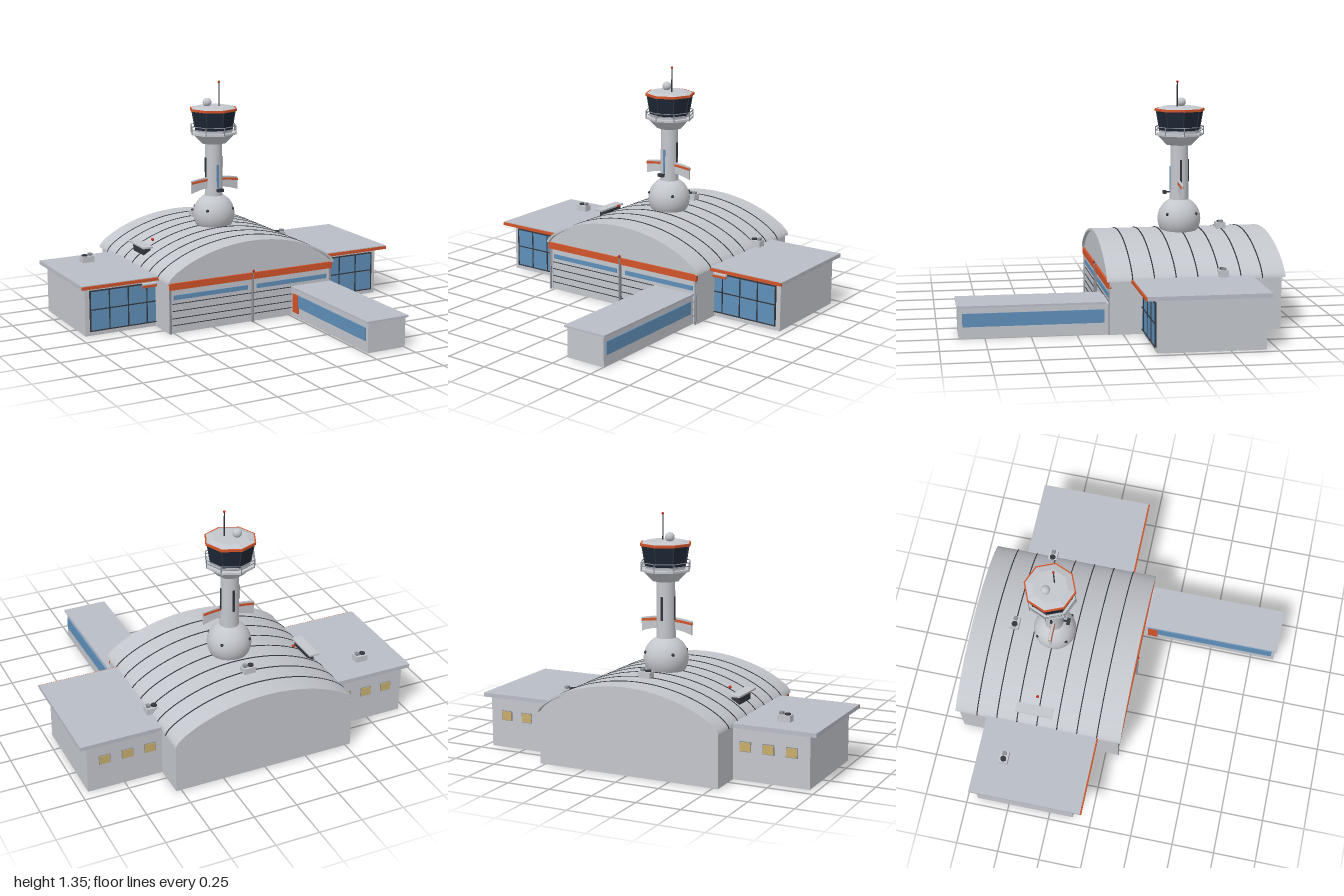
import * as THREE from 'three';
import { toCreasedNormals } from 'three/addons/utils/BufferGeometryUtils.js';

export function createModel() {
  const root = new THREE.Group();
  root.name = 'airportTerminal';
  const mat = (name, color) => {
    const m = new THREE.MeshStandardMaterial({ color });
    m.name = name;
    return m;
  };
  const wall = mat('pale grey', 0xc3c6cc);
  const roofGrey = mat('roof grey', 0xb9bdc6);
  const dark = mat('dark metal', 0x33373e);
  const steel = mat('mid grey', 0x8b9098);
  const orange = mat('orange trim', 0xd2542a);
  const glass = mat('blue glass', 0x5f8fba);
  const cabGlass = mat('dark glass', 0x1d2735);
  const amber = mat('amber window', 0xc9ae6c);
  const red = mat('red lamp', 0xc8321e);

  const add = (name, geo, material, x = 0, y = 0, z = 0, parent = root) => {
    const m = new THREE.Mesh(geo, material);
    m.name = name;
    m.position.set(x, y, z);
    parent.add(m);
    return m;
  };
  // Box given by its limits on each axis
  const box = (name, material, x0, x1, y0, y1, z0, z1, parent = root) =>
    add(name, new THREE.BoxGeometry(x1 - x0, y1 - y0, z1 - z0), material,
      (x0 + x1) / 2, (y0 + y1) / 2, (z0 + z1) / 2, parent);
  const ball = (name, r, material, x, y, z, parent = root) =>
    add(name, new THREE.SphereGeometry(r, 20, 14), material, x, y, z, parent);

  // Barrel roof curve, from the left eave over the crown to the right eave
  const BASE = 0.293, N = 40;
  const arch = (halfWidth, rise) => Array.from({ length: N + 1 }, (_, i) => {
    const u = Math.cos(Math.PI * i / N), q = 1 - u * u;
    return new THREE.Vector2(halfWidth * u, BASE + rise * (0.5 * Math.sqrt(q) + 0.5 * q));
  });
  const extrude = (points, z0, z1) => {
    const g = new THREE.ExtrudeGeometry(new THREE.Shape(points), { depth: z1 - z0, bevelEnabled: false });
    g.translate(0, 0, z0);
    return toCreasedNormals(g, 0.5);
  };
  const shell = (w, h, t, z0, z1) => extrude([...arch(w, h), ...arch(w - t, h - t).reverse()], z0, z1);

  // Main hall: open-bottomed walls, gables and barrel roof
  for (const s of [-1, 1]) {
    const x = s * 0.52;
    box('hallSideWall', wall, x - 0.01, x + 0.01, 0, BASE, -0.88, 0.075);
  }
  box('hallBackWall', wall, -0.51, 0.51, 0, BASE, -0.88, -0.86);
  box('hallFrontWall', wall, -0.51, 0.51, 0, BASE, 0.05, 0.07);
  add('hallGables', extrude(arch(0.52, 0.178), -0.88, 0.075), wall);
  add('barrelRoof', shell(0.54, 0.192, 0.014, -0.9, 0.09), wall);
  for (let i = 0; i < 7; i++) {
    const z = -0.77 + i * 0.12;
    add('roofSeam', shell(0.543, 0.195, 0.006, z - 0.003, z + 0.003), dark);
  }

  // Hall front: orange beam, door ribs, window strips and centre post
  box('frontBeam', orange, -0.53, 0.53, 0.255, 0.293, 0.065, 0.087);
  for (const y of [0.045, 0.085, 0.128, 0.17])
    box('doorRib', dark, -0.51, 0.51, y - 0.002, y + 0.002, 0.07, 0.073);
  for (const s of [-1, 1]) {
    const x = s * 0.265;
    box('clerestoryWindow', glass, x - 0.235, x + 0.235, 0.194, 0.22, 0.069, 0.075);
    box('doorEdgePost', steel, s * 0.523 - 0.006, s * 0.523 + 0.006, 0, 0.255, 0.07, 0.08);
  }
  box('centrePost', steel, -0.004, 0.004, 0, 0.3, 0.07, 0.09);
  ball('frontLamp', 0.008, red, 0, 0.304, 0.09);

  // Side wings share one block running through the hall
  box('wingBlock', wall, -0.96, 0.96, 0, 0.285, -0.69, -0.11);
  for (const s of [-1, 1]) {
    const wing = new THREE.Group();
    wing.name = s > 0 ? 'leftWing' : 'rightWing';
    root.add(wing);
    const b = (name, m, x0, x1, ...rest) =>
      box(name, m, Math.min(s * x0, s * x1), Math.max(s * x0, s * x1), ...rest, wing);
    b('wingRoof', roofGrey, 0.525, 1, 0.285, 0.308, -0.71, -0.05);
    b('wingFascia', orange, 0.525, 1, 0.287, 0.304, -0.05, -0.042);
    b('wingGlazing', glass, 0.53, 0.93, 0.028, 0.258, -0.11, -0.104);
    for (const x of [0.585, 0.7, 0.815, 0.93])
      b('mullion', dark, x - 0.003, x + 0.003, 0.025, 0.26, -0.11, -0.1);
    for (const y of [0.028, 0.15, 0.258])
      b('transom', dark, 0.53, 0.932, y - 0.003, y + 0.003, -0.11, -0.1);
    b('doorCanopy', wall, 0.53, 0.615, 0.252, 0.262, -0.11, -0.085);
    b('canopyEdge', orange, 0.53, 0.615, 0.24, 0.254, -0.095, -0.083);
    for (const x of [0.6, 0.73, 0.86]) {
      b('rearWindowFrame', steel, x - 0.033, x + 0.033, 0.157, 0.213, -0.693, -0.69);
      b('rearWindow', amber, x - 0.029, x + 0.029, 0.161, 0.209, -0.697, -0.69);
    }
  }

  // Boarding walkway
  box('walkwayBody', wall, 0.263, 0.503, 0, 0.17, 0.07, 0.89);
  box('walkwayRoof', roofGrey, 0.25, 0.516, 0.17, 0.181, 0.09, 0.9);
  for (const x of [0.26, 0.506])
    box('walkwayWindow', glass, x - 0.004, x + 0.004, 0.065, 0.138, 0.1, 0.87);
  box('walkwayDoor', orange, 0.253, 0.263, 0.03, 0.138, 0.1, 0.16);

  // Rooftop air units
  for (const [x, y, z] of [[-0.765, 0.308, -0.55], [0, 0.483, -0.65], [0.53, 0.308, -0.55]]) {
    const unit = new THREE.Group();
    unit.name = 'airUnit';
    unit.position.set(x, y, z);
    root.add(unit);
    box('unitCase', wall, -0.036, 0.036, -0.005, 0.036, -0.026, 0.026, unit);
    add('unitFan', new THREE.CylinderGeometry(0.017, 0.017, 0.008, 16), dark, -0.014, 0.039, 0, unit);
    box('unitVent', steel, 0.01, 0.03, 0.036, 0.05, -0.012, 0.012, unit);
  }

  // Raised panel on the barrel roof
  box('panelSupport', dark, -0.485, -0.44, 0.33, 0.4, -0.51, -0.36);
  box('raisedPanel', wall, -0.502, -0.442, 0.4, 0.41, -0.54, -0.325);
  ball('roofLamp', 0.009, red, -0.395, 0.425, -0.43);

  // Control tower
  const tower = new THREE.Group();
  tower.name = 'controlTower';
  tower.position.z = -0.408;
  root.add(tower);
  const cyl = (name, material, rTop, rBottom, y0, y1, sides, open = false) => {
    const g = new THREE.CylinderGeometry(rTop, rBottom, y1 - y0, sides, 1, open);
    return add(name, sides === 8 ? g.toNonIndexed() : g, material, 0, (y0 + y1) / 2, 0, tower);
  };
  const flat = (mesh) => { mesh.geometry.computeVertexNormals(); return mesh; };
  add('towerSphere', new THREE.SphereGeometry(0.124, 40, 24), wall, 0, 0.548, 0, tower);
  cyl('towerCollar', steel, 0.1, 0.1, 0.46, 0.49, 32);
  cyl('towerShaft', wall, 0.05, 0.054, 0.64, 0.985, 32);
  for (let i = 0; i < 4; i++) {
    const a = Math.PI / 4 + i * Math.PI / 2;
    ball('porthole', 0.009, dark, 0.118 * Math.sin(a), 0.583, 0.118 * Math.cos(a), tower);
    const slit = new THREE.Group();
    slit.name = 'shaftSlit';
    slit.rotation.y = i * Math.PI / 2;
    tower.add(slit);
    const [y0, y1] = i ? [0.76, 0.89] : [0.71, 0.85];
    box('slitWindow', i ? dark : glass, -0.006, 0.006, y0, y1, 0.045, 0.056, slit);
  }
  box('shaftLampArm', dark, -0.005, 0.005, 0.697, 0.705, 0.045, 0.08, tower);
  box('shaftLamp', dark, -0.019, 0.019, 0.692, 0.71, 0.076, 0.094, tower);

  // Bowed sign plate across the shaft
  const bow = (low, lowDrop, high, highDrop) => {
    const edge = (y, drop) => Array.from({ length: 13 }, (_, i) => {
      const u = i / 6 - 1;
      return new THREE.Vector2(0.153 * u, y - drop * u * u);
    });
    return [...edge(low, lowDrop), ...edge(high, highDrop).reverse()];
  };
  add('signPlate', extrude(bow(0.71, 0.028, 0.774, 0.016), 0.005, 0.017), wall, 0, 0, 0, tower);
  add('signStripe', extrude(bow(0.75, 0.013, 0.764, 0.013), 0.003, 0.019), orange, 0, 0, 0, tower);

  // Eight-sided cab with balcony
  flat(cyl('cabFlare', wall, 0.13, 0.075, 0.975, 1.032, 8));
  flat(cyl('balconyDeck', wall, 0.14, 0.14, 1.03, 1.042, 8));
  flat(cyl('cabSill', wall, 0.116, 0.114, 1.04, 1.062, 8));
  flat(cyl('cabWindows', cabGlass, 0.135, 0.116, 1.06, 1.172, 8));
  flat(cyl('cabRoofEdge', orange, 0.146, 0.146, 1.17, 1.184, 8));
  flat(cyl('cabRoof', wall, 0.1, 0.138, 1.184, 1.195, 8));
  for (const y of [1.062, 1.08]) {
    const rail = add('balconyRail', new THREE.TorusGeometry(0.141, 0.0025, 6, 8), steel, 0, y, 0, tower);
    rail.rotation.x = Math.PI / 2;
  }
  for (let i = 0; i < 8; i++) {
    const a = i * Math.PI / 4, sx = Math.sin(a), sz = Math.cos(a);
    add('railPost', new THREE.CylinderGeometry(0.003, 0.003, 0.05, 6), steel,
      0.14 * sx, 1.057, 0.14 * sz, tower);
    const frame = add('cabMullion', new THREE.CylinderGeometry(0.003, 0.003, 0.114, 6), dark,
      0.126 * sx, 1.116, 0.126 * sz, tower);
    frame.rotation.set(0.168, a, 0, 'YXZ');
  }

  // Radome and mast
  cyl('radomeBase', steel, 0.012, 0.012, 1.19, 1.2, 16).position.set(-0.033, 1.197, -0.016);
  ball('radome', 0.026, wall, -0.033, 1.217, -0.016, tower);
  add('mast', new THREE.CylinderGeometry(0.003, 0.004, 0.15, 8), dark, 0.027, 1.262, 0.02, tower);
  ball('mastLamp', 0.007, red, 0.027, 1.338, 0.02, tower);

  return root;
}
